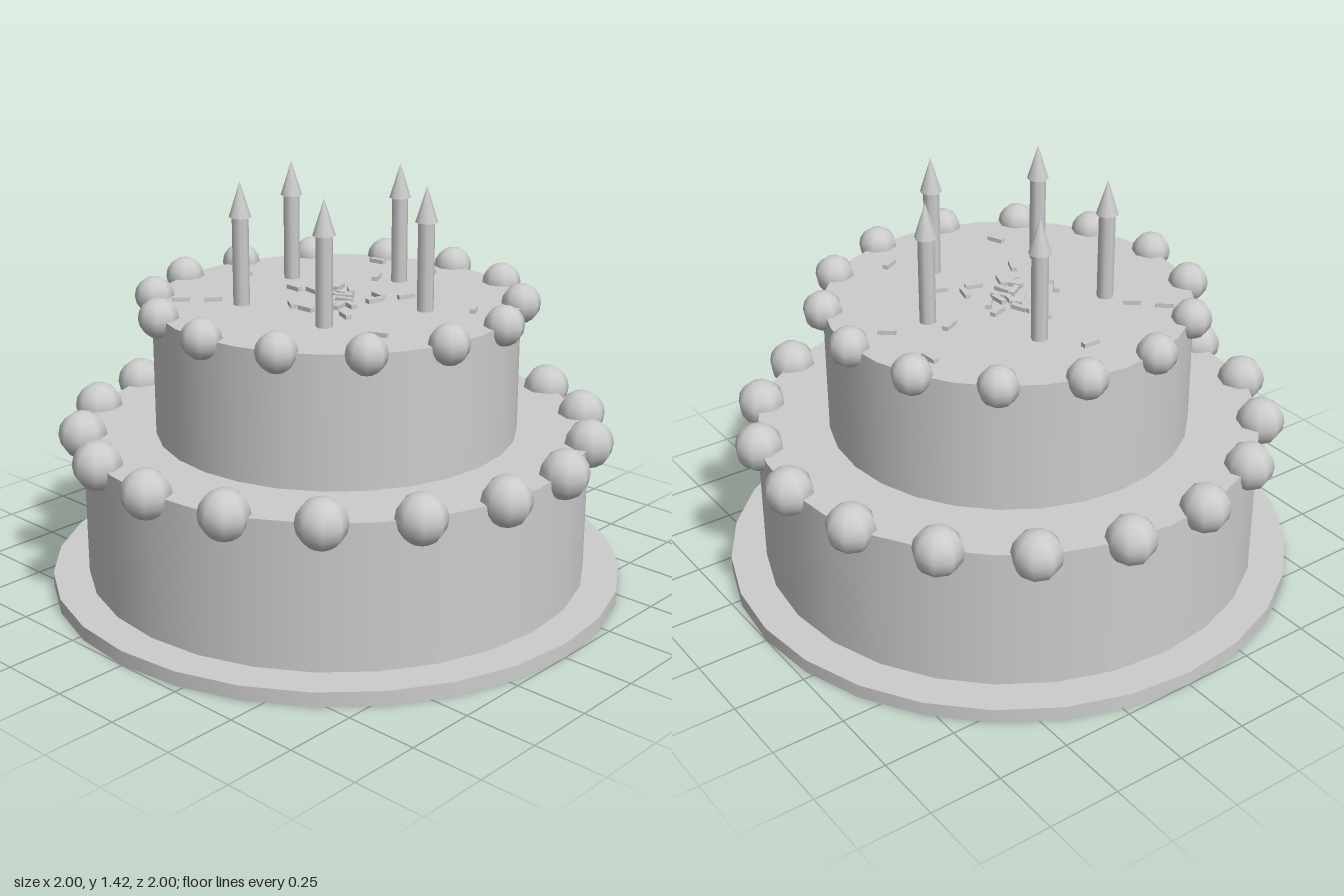
import * as THREE from 'three';

// Sprinkles: x and z in hundredths, then turn in degrees
const SPRINKLES = [
  [-0.5, -44, 0], [-37.5, -37, 40], [-30, -29, 40], [-1, -19, 95], [46.5, -22.5, 85],
  [48, 0.5, 40], [29, -7.5, -25], [10.5, -8.5, -20], [-16.5, -5, -55], [-17, 2, 90],
  [-14, 17, -65], [-22.5, 39, 70], [20, 43.5, -30], [6, 12, 15], [11.5, 9, -75],
  [17, 16.5, 20], [5, -1.5, 88], [9.5, -2, -50], [1, -12, -80], [3, -10.5, 70],
  [-2, -5, -50], [1, -7, 45], [-5.5, 6.5, 30], [-4, 10, -70], [-0.5, 4, 75],
  [-7, 8, -15], [3, 1, 60], [-3, 1, -35], [2, -4, 100], [-6, 5, 60],
];

export function createModel() {
  const cake = new THREE.Group();
  cake.name = 'tieredCake';
  const icing = new THREE.MeshStandardMaterial({ color: 0xcccccc });
  icing.name = 'pale grey';

  const add = (parent, name, geometry, x, y, z) => {
    const mesh = new THREE.Mesh(geometry, icing);
    mesh.name = name;
    mesh.position.set(x, y, z);
    parent.add(mesh);
    return mesh;
  };
  const group = (name) => {
    const g = new THREE.Group();
    g.name = name;
    cake.add(g);
    return g;
  };
  // Calls place(x, z) at even steps around a circle
  const ring = (count, radius, place) => {
    for (let i = 0; i < count; i++) {
      const a = (i / count) * Math.PI * 2;
      place(Math.cos(a) * radius, Math.sin(a) * radius);
    }
  };
  const disc = (name, radius, bottom, top) =>
    add(cake, name, new THREE.CylinderGeometry(radius, radius, top - bottom, 28), 0, (bottom + top) / 2, 0);

  // Board and tiers
  disc('cakeBoard', 1, 0, 0.05);
  disc('lowerTier', 0.875, 0.05, 0.55);
  disc('upperTier', 0.625, 0.55, 1);

  // Icing balls around the rim of each tier
  const lowerBalls = group('lowerIcingBalls');
  const lowerBall = new THREE.SphereGeometry(0.084, 8, 8);
  ring(18, 0.875, (x, z) => add(lowerBalls, 'icingBall', lowerBall, x, 0.55, z));
  const upperBalls = group('upperIcingBalls');
  const upperBall = new THREE.SphereGeometry(0.068, 8, 8);
  ring(14, 0.625, (x, z) => add(upperBalls, 'icingBall', upperBall, x, 1, z));

  // Candles with cone flames
  const candles = group('candles');
  const stick = new THREE.CylinderGeometry(0.028, 0.028, 0.3, 8);
  const flame = new THREE.ConeGeometry(0.038, 0.12, 8);
  ring(5, 0.325, (x, z) => {
    add(candles, 'candleStick', stick, x, 1.15, z);
    add(candles, 'flame', flame, x, 1.36, z);
  });

  // Sprinkles scattered on the top
  const sprinkles = group('sprinkles');
  const sprinkle = new THREE.BoxGeometry(0.06, 0.02, 0.02);
  for (const [x, z, turn] of SPRINKLES) {
    const s = add(sprinkles, 'sprinkle', sprinkle, x / 100, 1.005, z / 100);
    s.rotation.y = -THREE.MathUtils.degToRad(turn);
  }
  return cake;
}
